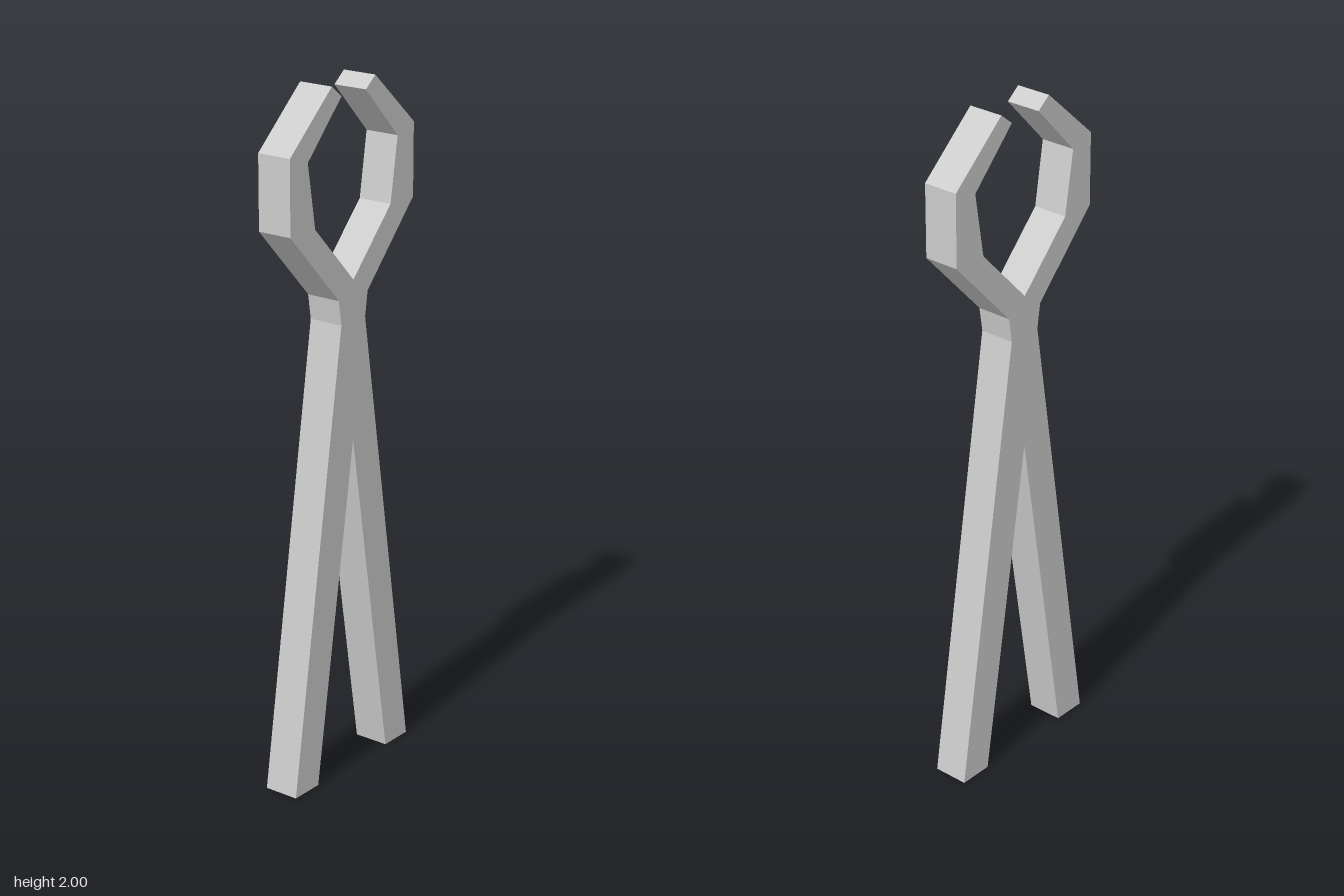
import * as THREE from 'three';

export function createModel() {
  const group = new THREE.Group();
  group.name = 'tongs';
  const depth = 0.105;

  // Half outline on the +x side, from the crotch of the legs round to the base of the jaws
  const half = [
    [0, 1.0],                                   // crotch
    [0.16, 0], [0.262, 0],                      // foot
    [0.053, 1.34], [0.064, 1.412],              // waist
    [0.27, 1.632], [0.27, 1.842],               // outer jaw
    [0.094, 2.0], [0.053, 1.967],               // jaw tip
    [0.196, 1.817], [0.166, 1.632],             // inner jaw
    [0, 1.457],                                 // jaw base
  ];

  // Mirror the outline, leaving out the two points on the centre line
  const mirrored = half.slice(1, -1).reverse().map(([x, y]) => [-x, y]);
  const outline = [...half, ...mirrored].map(([x, y]) => new THREE.Vector2(x, y));

  const geometry = new THREE.ExtrudeGeometry(new THREE.Shape(outline), {
    depth, bevelEnabled: false, steps: 1,
  });
  geometry.translate(0, 0, -depth / 2);

  const body = new THREE.Mesh(
    geometry,
    new THREE.MeshStandardMaterial({ color: 0xcccccc, flatShading: true })
  );
  body.name = 'legsAndJaws';
  group.add(body);
  return group;
}
